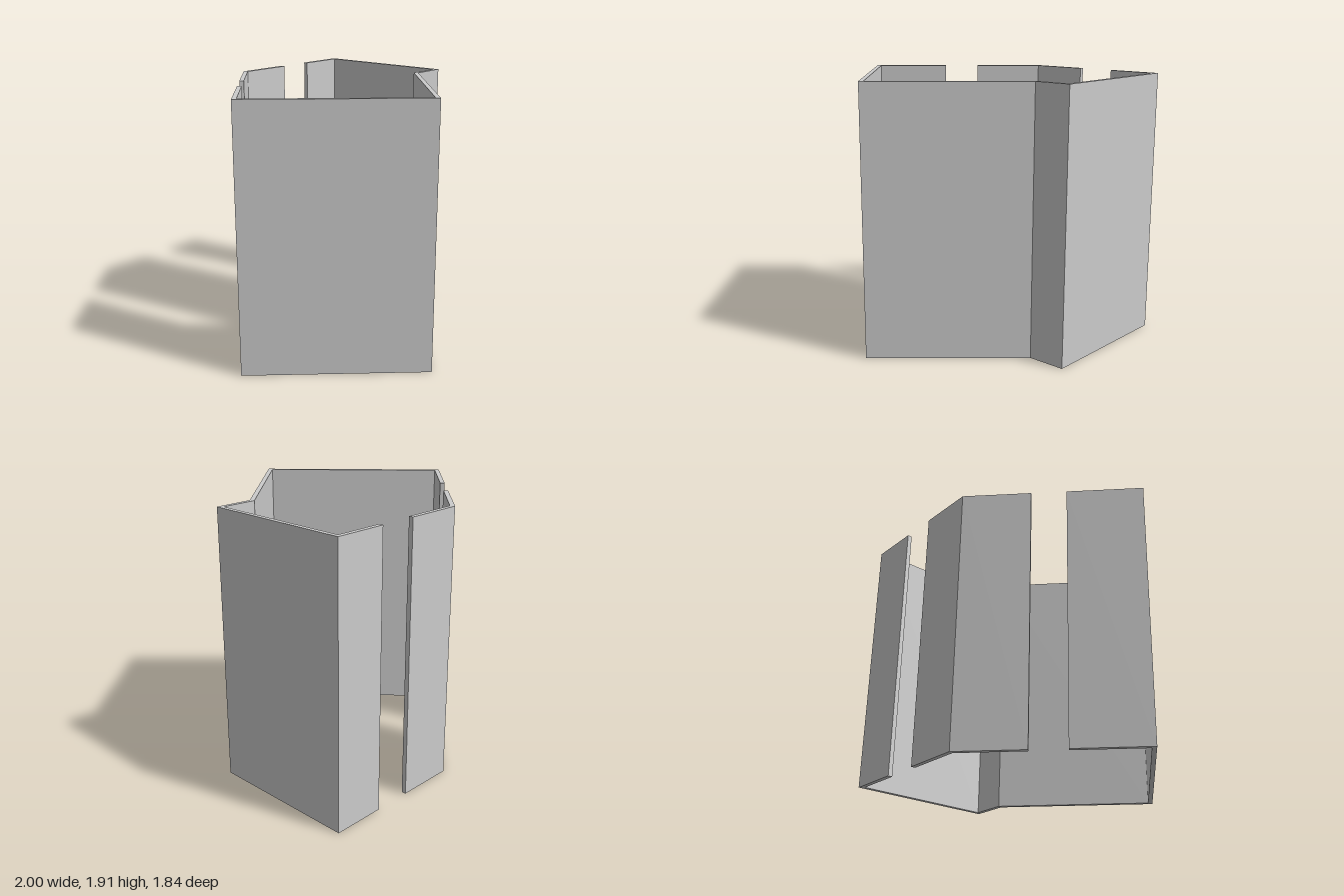
import * as THREE from 'three';

const HEIGHT = 1.91;
const THICKNESS = 0.032;

// Offsets an open run of [x, z] points inward, with mitred corners
function insetRun(points, distance) {
  const normals = points.slice(1).map(([x, z], i) => {
    const dx = x - points[i][0], dz = z - points[i][1];
    return new THREE.Vector2(-dz, dx).normalize();
  });
  return points.map(([x, z], i) => {
    const a = normals[Math.max(i - 1, 0)];
    const b = normals[Math.min(i, normals.length - 1)];
    const k = distance / (1 + a.dot(b));
    return [x + (a.x + b.x) * k, z + (a.y + b.y) * k];
  });
}

// Upright wall of constant thickness standing on its outer floor line
function makeWall(name, outer, material) {
  const loop = [...outer, ...insetRun(outer, THICKNESS).reverse()];
  const shape = new THREE.Shape(loop.map(([x, z]) => new THREE.Vector2(x, -z)));
  const geometry = new THREE.ExtrudeGeometry(shape, { depth: HEIGHT, bevelEnabled: false });
  geometry.rotateX(-Math.PI / 2);
  const mesh = new THREE.Mesh(geometry, material);
  mesh.name = name;
  return mesh;
}

export function createModel() {
  const model = new THREE.Group();
  model.name = 'roomWalls';
  const material = new THREE.MeshStandardMaterial({ color: 0xcccccc });

  // Long run around the front, from the back doorway to the diagonal doorway
  model.add(makeWall('mainWall', [
    [0.625, -0.92], [1, -0.92], [1, 0.15], [0.73, 0.15],
    [-0.11, 0.92], [-1, -0.05], [-0.604, -0.416],
  ], material));

  // Short bent run between the two full-height doorways
  model.add(makeWall('backCornerWall', [
    [-0.42, -0.587], [-0.06, -0.92], [0.355, -0.92],
  ], material));

  return model;
}
